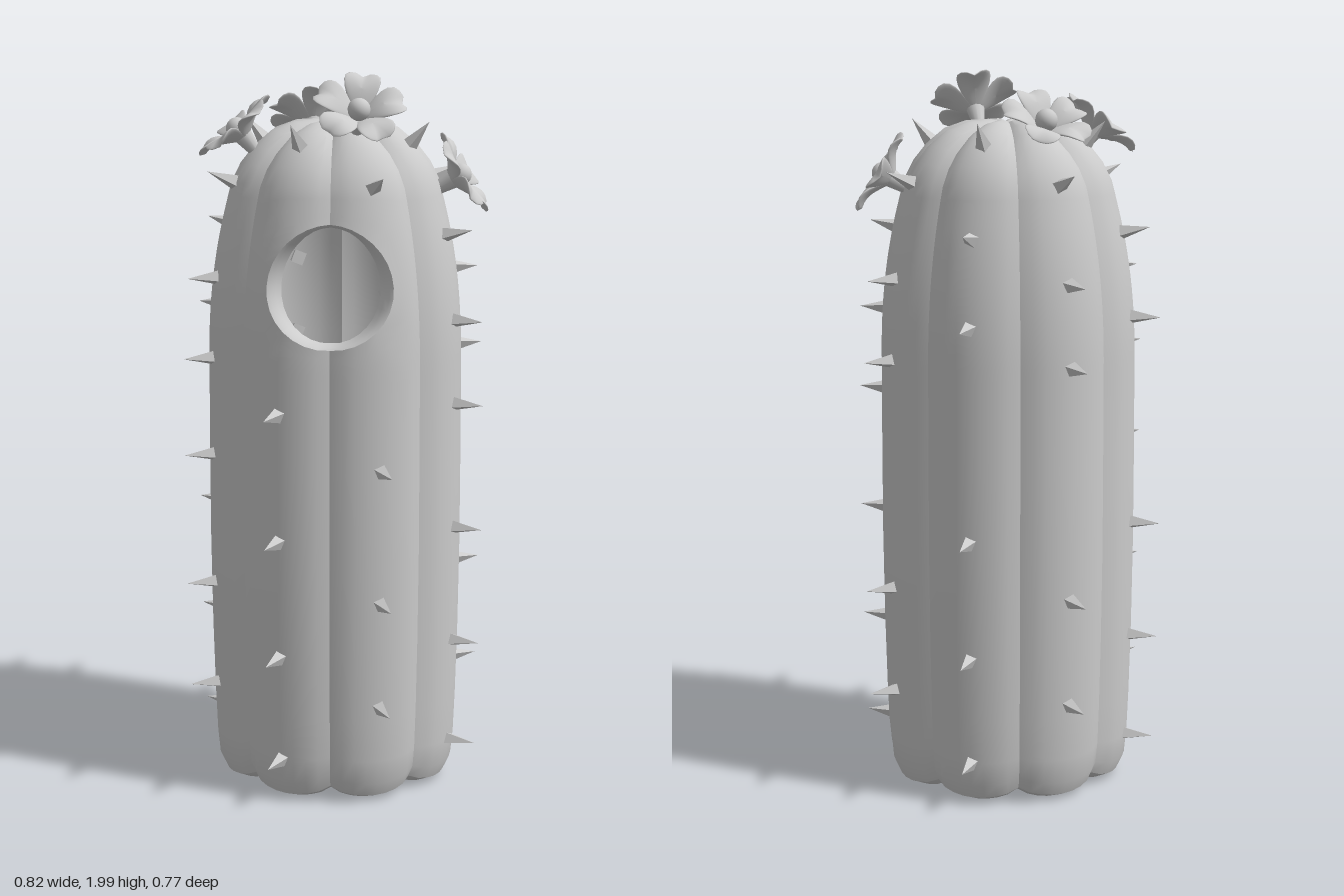
import * as THREE from 'three';
import { toCreasedNormals } from 'three/addons/utils/BufferGeometryUtils.js';

const DEPTH = 0.92;                       // body is slightly flattened front to back
const COLS = 64, HALF = 8;                // 8 columns per rib
const HOLE = { y: 1.45, r: 0.163, block: 0.25 };
const grey = new THREE.MeshStandardMaterial({ color: 0xcccccc });
const greyTwoSided = new THREE.MeshStandardMaterial({ color: 0xcccccc, side: THREE.DoubleSide });
const greyFlat = new THREE.MeshStandardMaterial({ color: 0xcccccc, flatShading: true });

// Body profile as [radius, height]: base, shaft, shoulder, dome
const shoulder = y => 0.335 - 0.065 * Math.pow(Math.max(0, (y - 1.2) / 0.5), 2.2);
const profile = [
  [0, 0.045], [0.1, 0.04], [0.2, 0.028], [0.27, 0.028], [0.305, 0.045], [0.322, 0.08],
  [0.328, 0.14], [0.332, 0.25], [0.336, 0.45], [0.338, 0.7], [0.337, 0.95],
];
const blockRow = profile.length;          // first of the 17 rows around the hole
for (let j = 0; j <= 16; j++) {
  const y = HOLE.y - HOLE.block + HOLE.block * j / 8;
  profile.push([shoulder(y), y]);
}
profile.push([0.246, 1.745], [0.212, 1.785], [0.165, 1.822], [0.11, 1.846], [0.05, 1.86], [0, 1.86]);

// Point on the ribbed skin; ribs bulge between eight creases
function skin(theta, radius, y, inset = 0) {
  const bulge = Math.pow(Math.abs(Math.sin(4 * theta)), 0.7);
  const r = radius * (1 + 0.075 * bulge) - inset;
  const swell = THREE.MathUtils.clamp((y - 1.65) / 0.2, 0, 1) - THREE.MathUtils.clamp((0.2 - y) / 0.15, 0, 1);
  const lift = 0.025 * bulge * swell * Math.min(1, radius / 0.15);
  return [r * Math.sin(theta), y + lift, r * Math.cos(theta) * DEPTH];
}

// Angle and height on a circle around the hole
const circlePoint = (a, r) => [Math.asin(r * Math.cos(a) / 0.335), HOLE.y + r * Math.sin(a)];

// Pull the square grid around the hole into a circle
function warp(i, j) {
  const s = Math.max(Math.abs(i), Math.abs(j)) / HALF;
  let a;
  if (Math.abs(i) >= Math.abs(j)) a = (Math.PI / 4) * (j / i) + (i < 0 ? Math.PI : 0);
  else a = Math.PI / 2 - (Math.PI / 4) * (i / j) + (j < 0 ? Math.PI : 0);
  const [ct, cy] = circlePoint(a, HOLE.r);
  const t = (s - 0.5) * 2;
  const et = (i / s / HALF) * Math.PI / 4, ey = HOLE.y + (j / s / HALF) * HOLE.block;
  return [ct + (et - ct) * t, cy + (ey - cy) * t];
}

function gridGeometry(points, index) {
  const g = new THREE.BufferGeometry();
  g.setAttribute('position', new THREE.Float32BufferAttribute(points, 3));
  g.setIndex(index);
  return g;
}

function bodyGeometry() {
  const points = [], index = [];
  profile.forEach(([radius, y], row) => {
    for (let c = 0; c < COLS; c++) {
      const i = c - COLS / 2, j = row - blockRow - HALF;
      const s = Math.max(Math.abs(i), Math.abs(j)) / HALF;
      if (s >= 0.5 && s < 1) {
        const [t, wy] = warp(i, j);
        points.push(...skin(t, shoulder(wy), wy));
      } else points.push(...skin(i / COLS * Math.PI * 2, radius, y));
    }
  });
  for (let row = 0; row < profile.length - 1; row++) {
    for (let c = 0; c < COLS; c++) {
      const i = c - COLS / 2 + 0.5, j = row - blockRow - HALF + 0.5;
      if (Math.max(Math.abs(i), Math.abs(j)) < HALF / 2) continue;   // opening
      const a = row * COLS + c, b = row * COLS + (c + 1) % COLS;
      if (row > 0) index.push(a, b, b + COLS);
      if (row === 0) index.push(a, b + COLS, a + COLS);
      else if (row < profile.length - 2) index.push(a, b + COLS, a + COLS);
    }
  }
  return toCreasedNormals(gridGeometry(points, index), 0.5);
}

// Rounded lip turning into the hollow body
function rimGeometry() {
  const rings = [[0.163, 0], [0.157, 0.01], [0.153, 0.03], [0.152, 0.055]];
  const n = 32, points = [], index = [];
  for (const [r, inset] of rings) {
    for (let k = 0; k < n; k++) {
      const [t, y] = circlePoint(k / n * Math.PI * 2, r);
      points.push(...skin(t, shoulder(y), y, inset));
    }
  }
  for (let q = 0; q < rings.length - 1; q++) {
    for (let k = 0; k < n; k++) {
      const a = q * n + k, b = q * n + (k + 1) % n;
      index.push(a, b, b + n, a, b + n, a + n);
    }
  }
  const g = gridGeometry(points, index);
  g.computeVertexNormals();
  return g;
}

// Body radius at any height
function radiusAt(y) {
  let k = 4;
  while (k < profile.length - 2 && profile[k + 1][1] < y) k++;
  const [r0, y0] = profile[k], [r1, y1] = profile[k + 1];
  return r0 + (r1 - r0) * (y - y0) / (y1 - y0);
}

// Thorns along the middle of each rib, in two alternating patterns
function addThorns(group) {
  const thorn = new THREE.ConeGeometry(0.026, 0.1, 4).translate(0, 0.03, 0);
  const patterns = [[0.29, 0.59, 0.96, 1.23, 1.45, 1.7], [0.14, 0.43, 0.76, 1.11, 1.34, 1.57, 1.79]];
  const up = new THREE.Vector3(0, 1, 0);
  for (let rib = 0; rib < 8; rib++) {
    const theta = (rib + 0.5) * Math.PI / 4;
    const front = rib === 0 || rib === 7, back = Math.cos(theta) < 0;
    for (const y of patterns[rib % 2]) {
      if (front && y > 1.2 && y < 1.65) continue;       // keep the opening clear
      if (back && y > 0.9 && y < 1.2) continue;
      const tilt = y < 1.5 ? 0 : (radiusAt(y - 0.02) - radiusAt(y + 0.02)) / 0.04;
      const mesh = new THREE.Mesh(thorn, greyFlat);
      mesh.name = 'thorn';
      mesh.position.set(...skin(theta, radiusAt(y), y));
      const dir = new THREE.Vector3(Math.sin(theta), tilt, Math.cos(theta)).normalize();
      mesh.quaternion.setFromUnitVectors(up, dir);
      group.add(mesh);
    }
  }
}

// Broad notched petal: a flattened sphere bent up and outward
function petalGeometry() {
  const g = new THREE.SphereGeometry(1, 20, 14);
  const p = g.attributes.position;
  for (let k = 0; k < p.count; k++) {
    const t = (p.getX(k) + 1) / 2;
    const z = p.getZ(k) * 0.056 * (0.45 + 0.7 * t);
    const notch = 0.012 * t * t * Math.exp(-((z / 0.015) ** 2));
    const y = p.getY(k) * 0.008 + 0.045 * Math.sin(2.1 * t) + 5 * z * z * t - 0.4 * notch;
    p.setXYZ(k, 0.008 + 0.12 * t - notch, y, z);
  }
  g.computeVertexNormals();
  return g;
}

function addFlowers(group) {
  const petal = petalGeometry();
  const centre = new THREE.SphereGeometry(0.03, 16, 12).translate(0, 0.034, 0);
  const stem = new THREE.CylinderGeometry(0.026, 0.014, 0.07, 12).translate(0, -0.025, 0);
  const flowers = [
    { name: 'frontFlower', at: [0.068, 1.88, 0.18], facing: [0.1, 0.72, 0.66], turn: 0.3 },
    { name: 'leftFlower', at: [0.31, 1.705, 0.03], facing: [0.84, 0.52, 0.08], turn: 0.2 },
    { name: 'rightFlower', at: [-0.24, 1.82, 0.075], facing: [-0.62, 0.77, 0.1], turn: 0.5 },
    { name: 'backFlower', at: [-0.075, 1.845, -0.172], facing: [-0.2, 0.83, -0.5], turn: 0.1 },
  ];
  for (const { name, at, facing, turn } of flowers) {
    const flower = new THREE.Group();
    flower.name = name;
    const add = (geometry, part) => {
      const mesh = new THREE.Mesh(geometry, grey);
      mesh.name = part;
      flower.add(mesh);
      return mesh;
    };
    for (let k = 0; k < 5; k++) add(petal, 'petal').rotation.y = turn + k * Math.PI * 2 / 5;
    add(centre, 'flowerCentre');
    add(stem, 'flowerStem');
    flower.position.set(...at);
    flower.quaternion.setFromUnitVectors(new THREE.Vector3(0, 1, 0), new THREE.Vector3(...facing).normalize());
    group.add(flower);
  }
}

export function createModel() {
  const model = new THREE.Group();
  model.name = 'cactus';
  const body = new THREE.Mesh(bodyGeometry(), greyTwoSided);
  body.name = 'body';
  const rim = new THREE.Mesh(rimGeometry(), greyTwoSided);
  rim.name = 'holeRim';
  model.add(body, rim);
  addThorns(model);
  addFlowers(model);
  return model;
}
